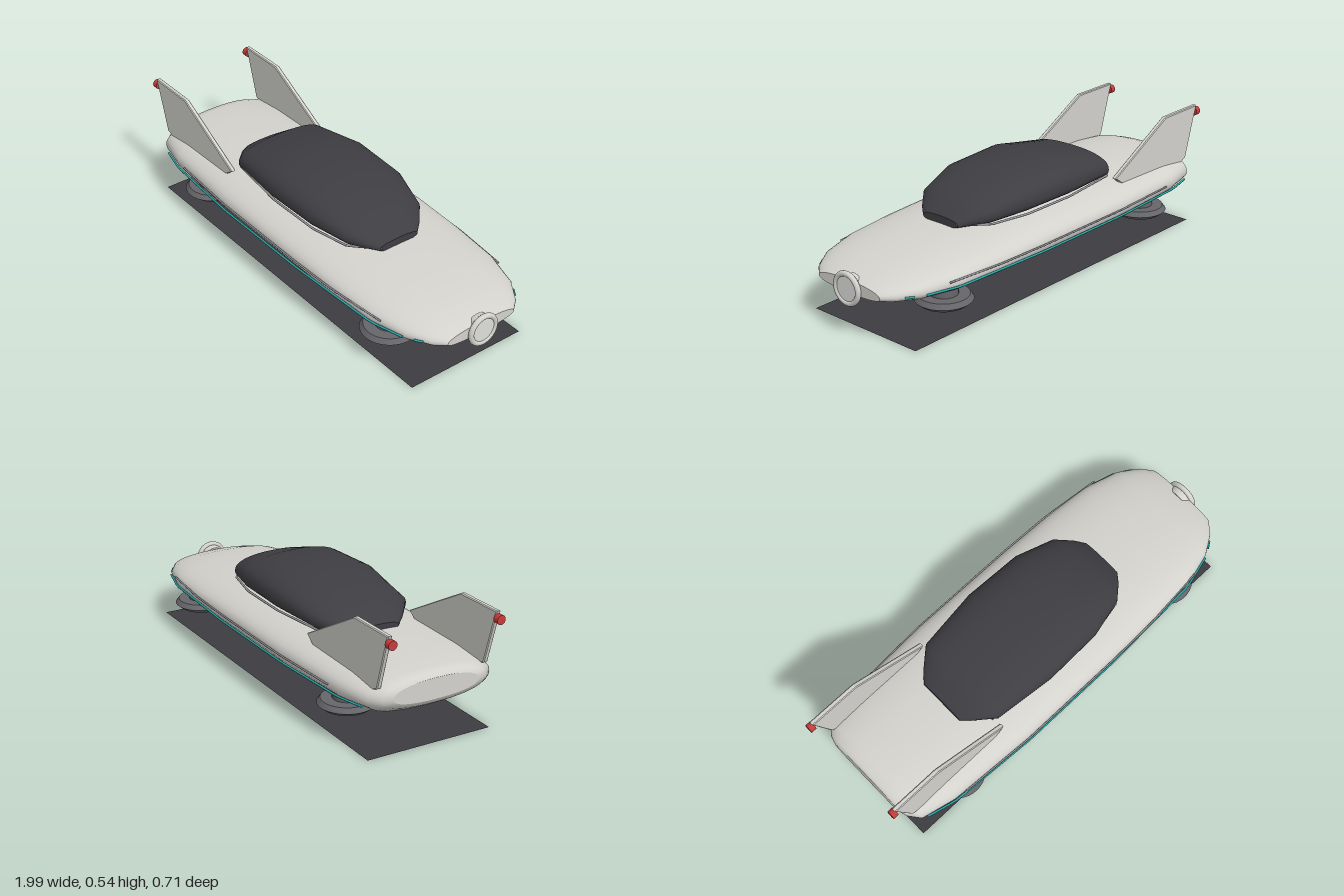
import * as THREE from 'three';

const mat = (name, color, side = THREE.FrontSide) => {
  const m = new THREE.MeshStandardMaterial({ color, side });
  m.name = name;
  return m;
};

// Skin through cross-sections along x; each station is [x, yLow, yMid, yTop, halfWidth]
function loft(stations, power, segments = 40) {
  const pos = [], index = [];
  const point = ([x, lo, mid, hi, w], j) => {
    const t = (j % segments) / segments * Math.PI * 2;
    const bend = v => Math.sign(v) * Math.pow(Math.abs(v), 2 / power);
    const s = bend(Math.sin(t));
    pos.push(x, mid + s * (s > 0 ? hi - mid : mid - lo), w * bend(Math.cos(t)));
  };
  stations.forEach((st, i) => {
    for (let j = 0; j < segments; j++) {
      point(st, j);
      if (i === stations.length - 1) continue;
      const k = (j + 1) % segments;
      const a = i * segments + j, b = a + segments, c = i * segments + k, d = c + segments;
      index.push(a, b, c, b, d, c);
    }
  });
  // Flat ends with their own vertices, so their edges stay crisp
  [stations[0], stations[stations.length - 1]].forEach((st, end) => {
    const c = pos.length / 3;
    pos.push(st[0], st[2], 0);
    for (let j = 0; j < segments; j++) point(st, j);
    for (let j = 0; j < segments; j++) {
      const a = c + 1 + j, b = c + 1 + (j + 1) % segments;
      if (end) index.push(c, b, a); else index.push(c, a, b);
    }
  });
  const g = new THREE.BufferGeometry();
  g.setAttribute('position', new THREE.Float32BufferAttribute(pos, 3));
  g.setIndex(index);
  g.computeVertexNormals();
  return g;
}

// Thin rod along straight runs between [x, y, z] points, mirrored by side
function rod(points, side, radius) {
  const path = new THREE.CurvePath();
  const p = points.map(([x, y, z]) => new THREE.Vector3(x, y, z * side));
  for (let i = 1; i < p.length; i++) path.add(new THREE.LineCurve3(p[i - 1], p[i]));
  return new THREE.TubeGeometry(path, 48, radius, 8);
}

export function createModel() {
  const car = new THREE.Group();
  car.name = 'hoverCar';
  const paint = mat('body paint', 0xd3d2cd);
  const chrome = mat('trim metal', 0x96969a);
  const lens = mat('nose lens', 0xdededb);
  const glass = mat('dark canopy glass', 0x3e3d42);
  const padGrey = mat('pad grey', 0x66666a);
  const teal = mat('teal glow', 0x2aa3a3, THREE.DoubleSide);
  const red = mat('tail light red', 0xc63a3a);
  const blue = mat('thruster blue', 0x3d6f8c);
  const shade = mat('ground shade', 0x3d3c41, THREE.DoubleSide);
  const add = (name, geometry, material, x = 0, y = 0, z = 0, parent = car) => {
    const m = new THREE.Mesh(geometry, material);
    m.name = name;
    m.position.set(x, y, z);
    parent.add(m);
    return m;
  };

  // Long rounded hull
  add('body', loft([
    [-0.937, 0.21, 0.25, 0.30, 0.2],
    [-0.925, 0.19, 0.248, 0.318, 0.24],
    [-0.885, 0.165, 0.245, 0.329, 0.29],
    [-0.73, 0.153, 0.242, 0.338, 0.325],
    [-0.32, 0.146, 0.238, 0.342, 0.346],
    [0.2, 0.142, 0.236, 0.333, 0.346],
    [0.45, 0.141, 0.232, 0.322, 0.34],
    [0.68, 0.149, 0.225, 0.306, 0.325],
    [0.84, 0.164, 0.22, 0.284, 0.282],
    [0.93, 0.177, 0.214, 0.26, 0.225],
    [0.972, 0.186, 0.211, 0.242, 0.175]
  ], 2.3), paint);

  // Canopy bubble
  add('canopy', loft([
    [-0.5, 0.32, 0.345, 0.365, 0.11],
    [-0.46, 0.32, 0.36, 0.392, 0.155],
    [-0.38, 0.32, 0.378, 0.447, 0.225],
    [-0.1, 0.32, 0.39, 0.501, 0.256],
    [0.17, 0.32, 0.388, 0.489, 0.248],
    [0.35, 0.315, 0.368, 0.433, 0.2],
    [0.42, 0.315, 0.35, 0.385, 0.14],
    [0.455, 0.315, 0.335, 0.355, 0.1]
  ], 2.4), glass);

  // Nose ring, backing and lens
  const nose = new THREE.Group();
  nose.name = 'nose';
  nose.position.set(0.982, 0.208, 0);
  car.add(nose);
  add('noseRing', new THREE.TorusGeometry(0.063, 0.012, 12, 40), paint, 0, 0, 0, nose).rotation.y = Math.PI / 2;
  add('noseBack', new THREE.CylinderGeometry(0.062, 0.055, 0.04, 36), paint, -0.02, 0, 0, nose).rotation.z = -Math.PI / 2;
  add('noseLens', new THREE.CylinderGeometry(0.054, 0.054, 0.006, 36), lens, 0.003, 0, 0, nose).rotation.z = -Math.PI / 2;

  // Fin outline in side view
  const finShape = new THREE.Shape([[-0.975, 0.536], [-0.907, 0.302], [-0.86, 0.28], [-0.45, 0.3],
    [-0.39, 0.342], [-0.745, 0.534]].map(([x, y]) => new THREE.Vector2(x, y)));
  const finGeometry = new THREE.ExtrudeGeometry(finShape, {
    depth: 0.014, bevelEnabled: true, bevelThickness: 0.004, bevelSize: 0.004, bevelSegments: 1
  });
  const padProfile = [[0, 0.105], [0.1, 0.105], [0.122, 0.123], [0.107, 0.144], [0, 0.144]]
    .map(([r, y]) => new THREE.Vector2(r, y));
  // Repeating the bevel corners keeps the pad edges sharp
  const padGeometry = new THREE.LatheGeometry(padProfile, 36).toNonIndexed();
  padGeometry.computeVertexNormals();

  for (const side of [1, -1]) {
    const tag = side > 0 ? 'left' : 'right';
    // Tail fin and its light
    add(tag + 'Fin', finGeometry, paint, 0, 0, side * 0.25 - 0.007);
    add(tag + 'TailLight', new THREE.CylinderGeometry(0.02, 0.02, 0.026, 20), red,
      -0.986, 0.508, side * 0.25).rotation.z = Math.PI / 2;

    // Side strips and canopy base trim
    add(tag + 'GlowStrip', rod([[-0.86, 0.214, 0.294], [-0.73, 0.214, 0.326], [-0.32, 0.214, 0.35],
      [0.2, 0.214, 0.35], [0.68, 0.214, 0.329], [0.83, 0.214, 0.288]], side, 0.005), teal);
    add(tag + 'GlowTip', rod([[0.872, 0.214, 0.265], [0.904, 0.214, 0.243]], side, 0.005), teal);
    add(tag + 'SideTrim', rod([[-0.67, 0.241, 0.331], [-0.32, 0.241, 0.35], [0.2, 0.241, 0.35],
      [0.45, 0.241, 0.343], [0.73, 0.241, 0.315]], side, 0.004), chrome);
    add(tag + 'CanopyTrim', rod([[-0.4, 0.341, 0.2], [-0.1, 0.34, 0.236], [0.17, 0.339, 0.232],
      [0.35, 0.338, 0.194], [0.455, 0.337, 0.09]], side, 0.005), chrome);

    // Hover pads with glowing undersides
    for (const [place, x] of [['Front', 0.66], ['Rear', -0.622]]) {
      const pad = new THREE.Group();
      pad.name = tag + place + 'Hover';
      pad.position.set(x, 0, side * 0.215);
      car.add(pad);
      add('pad', padGeometry, padGrey, 0, 0, 0, pad);
      add('thruster', new THREE.CylinderGeometry(0.083, 0.083, 0.005, 36), blue, 0, 0.104, 0, pad);
      add('stem', new THREE.CylinderGeometry(0.06, 0.06, 0.05, 24), padGrey, 0, 0.16, 0, pad);
    }
  }

  // Flat shade panel beneath the car
  add('groundPanel', new THREE.PlaneGeometry(1.8, 0.58), shade).rotation.x = -Math.PI / 2;
  return car;
}
